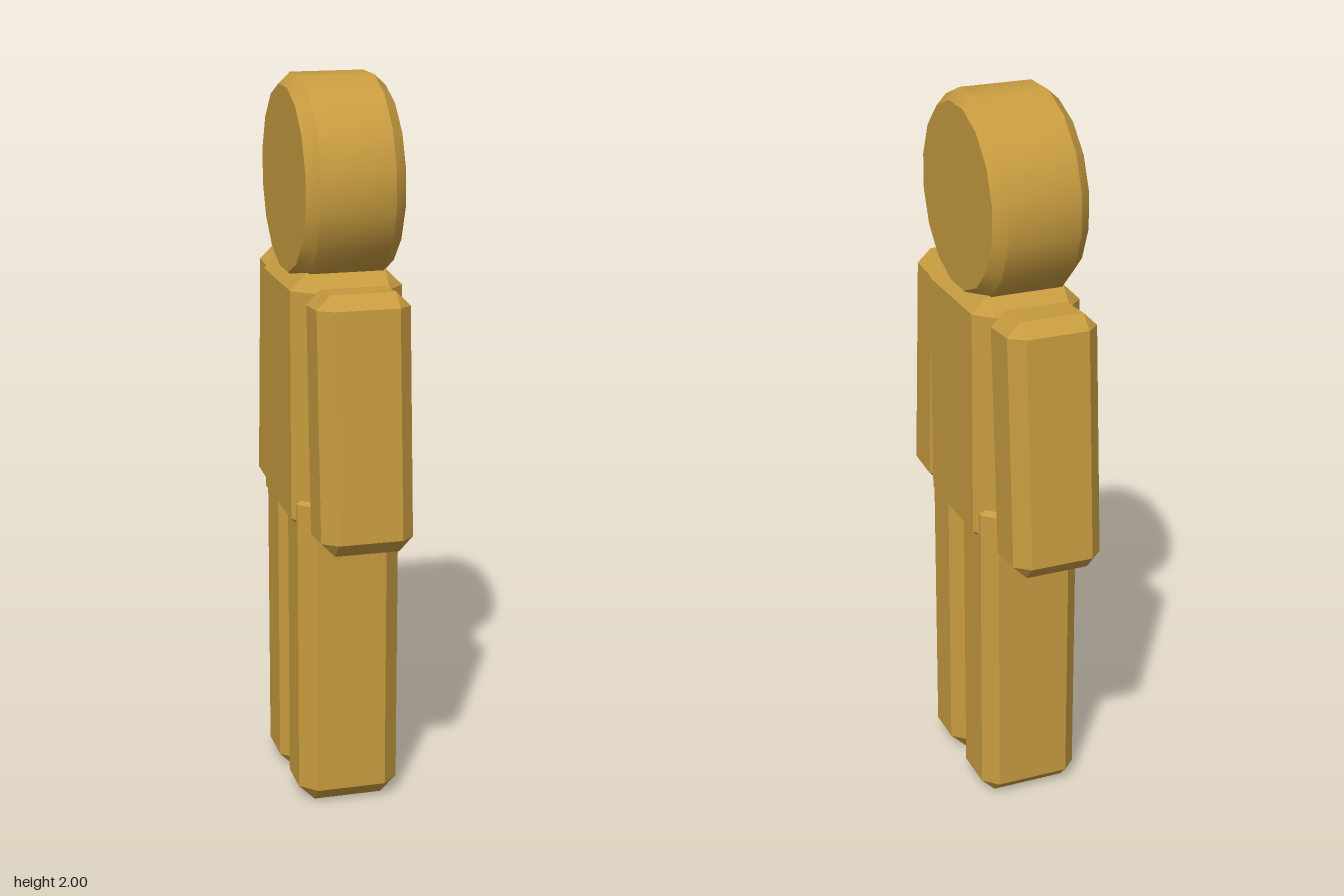
import * as THREE from 'three';
import { ConvexGeometry } from 'three/addons/geometries/ConvexGeometry.js';
import { toCreasedNormals } from 'three/addons/utils/BufferGeometryUtils.js';

const material = new THREE.MeshStandardMaterial({ color: 0xc89c40 });

// Box with every edge chamfered by c
function chamferBox(w, h, d, c) {
  const points = [];
  for (const sx of [-1, 1]) for (const sy of [-1, 1]) for (const sz of [-1, 1]) {
    const x = w / 2, y = h / 2, z = d / 2;
    points.push(
      new THREE.Vector3(sx * x, sy * (y - c), sz * (z - c)),
      new THREE.Vector3(sx * (x - c), sy * y, sz * (z - c)),
      new THREE.Vector3(sx * (x - c), sy * (y - c), sz * z)
    );
  }
  return new ConvexGeometry(points);
}

export function createModel() {
  const model = new THREE.Group();
  model.name = 'blockFigure';

  const add = (name, geometry, y, z, tilt = 0) => {
    const mesh = new THREE.Mesh(geometry, material);
    mesh.name = name;
    mesh.position.set(0, y, z);
    mesh.rotation.x = tilt;
    model.add(mesh);
    return mesh;
  };

  // Head: 16-sided disc lying along x, with bevelled rims
  const profile = [[0, -0.133], [0.248, -0.133], [0.278, -0.1], [0.278, 0.1], [0.248, 0.133], [0, 0.133]]
    .map(([r, h]) => new THREE.Vector2(r, h));
  const disc = new THREE.LatheGeometry(profile, 16, Math.PI / 16);
  disc.rotateZ(-Math.PI / 2);
  add('head', toCreasedNormals(disc, Math.PI / 6), 1.728, 0);

  // Torso
  add('torso', chamferBox(0.306, 0.725, 0.4, 0.048), 1.1425, 0);

  // Arms, splayed slightly outwards at the hands
  add('frontArm', chamferBox(0.25, 0.69, 0.184, 0.038), 1.13, 0.291, -0.07);
  add('backArm', chamferBox(0.25, 0.708, 0.184, 0.038), 1.13, -0.291, 0.07);

  // Legs, their tops sunk into the torso
  add('frontLeg', chamferBox(0.282, 0.92, 0.2, 0.045), 0.46, 0.12);
  add('backLeg', chamferBox(0.282, 0.925, 0.2, 0.038), 0.4625, -0.116);

  return model;
}
